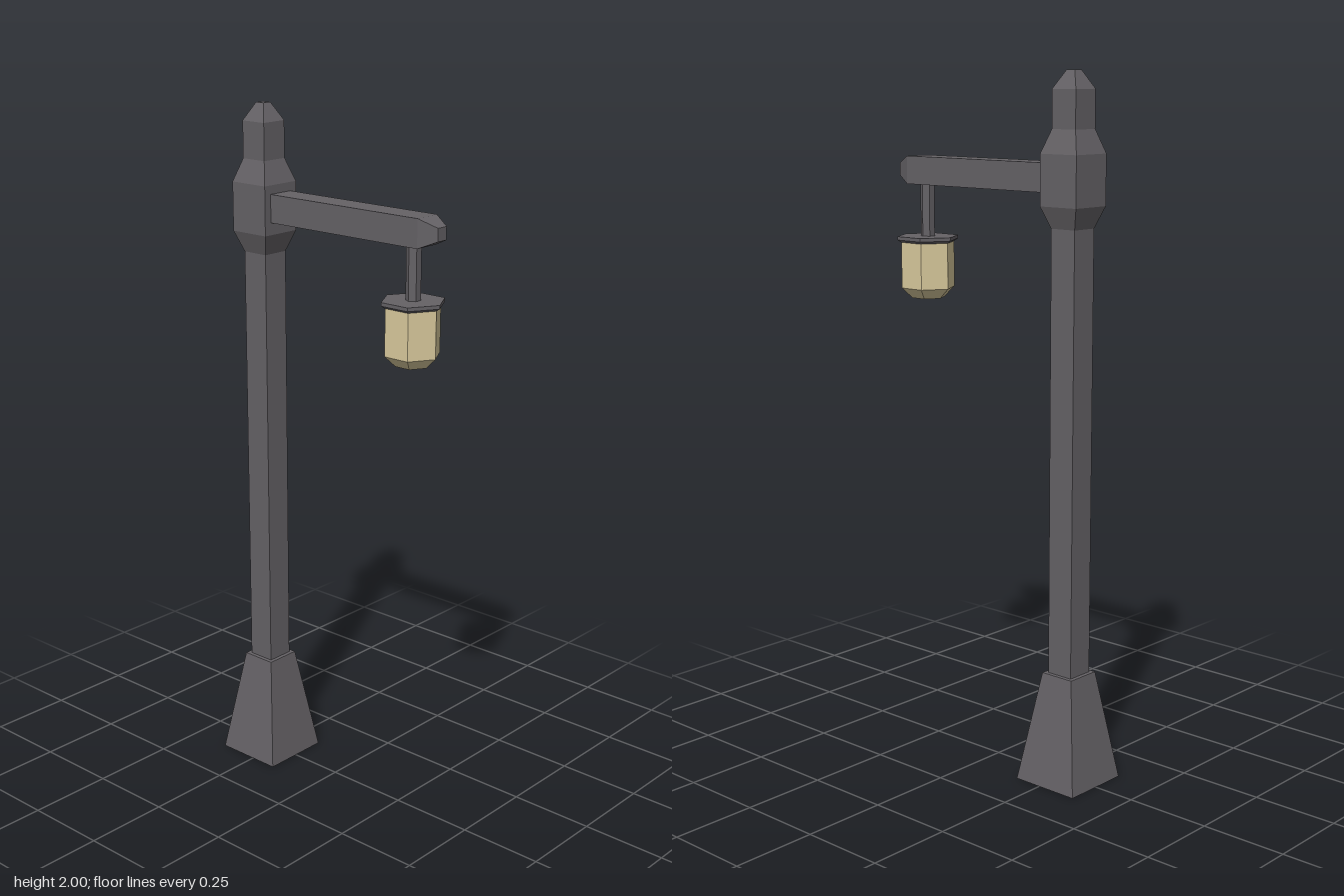
import * as THREE from 'three';

const iron = new THREE.MeshStandardMaterial({ color: 0x656266, flatShading: true });
iron.name = 'dark iron';
const glass = new THREE.MeshStandardMaterial({ color: 0xd9ca9d, flatShading: true });
glass.name = 'warm glass';

// Closed prism from [half width across flats, height] steps, bottom to top
function prism(name, sides, steps, material, turn = 0) {
  const k = 1 / Math.cos(Math.PI / sides);
  const points = steps.map(([r, y]) => new THREE.Vector2(r * k, y));
  points.unshift(new THREE.Vector2(0, steps[0][1]));
  points.push(new THREE.Vector2(0, steps[steps.length - 1][1]));
  const mesh = new THREE.Mesh(new THREE.LatheGeometry(points, sides, turn), material);
  mesh.name = name;
  return mesh;
}

export function createModel() {
  const model = new THREE.Group();
  model.name = 'streetLamp';
  const quarter = Math.PI / 4;

  // Square post with flared foot, collar and pointed finial
  const post = new THREE.Group();
  post.name = 'post';
  post.position.z = -0.269;
  post.add(
    prism('foot', 4, [[0.104, 0], [0.053, 0.32]], iron, quarter),
    prism('shaft', 4, [[0.041, 0.32], [0.041, 1.58]], iron, quarter),
    prism('collar', 4, [[0.041, 1.58], [0.063, 1.64], [0.063, 1.78], [0.041, 1.845]], iron, quarter),
    prism('finial', 4, [[0.041, 1.845], [0.041, 1.95], [0.014, 2]], iron, quarter)
  );

  // Horizontal arm with a tapered end
  const arm = prism('arm', 4, [[0.04, -0.22], [0.04, 0.322], [0.018, 0.373]], iron, quarter);
  arm.rotation.x = Math.PI / 2;
  arm.position.y = 1.715;

  // Hanging six-sided lantern
  const lantern = new THREE.Group();
  lantern.name = 'lantern';
  lantern.position.z = 0.279;
  lantern.add(
    prism('hanger', 6, [[0.018, 1.52], [0.018, 1.68]], iron, Math.PI / 6),
    prism('lanternCap', 6, [[0.07, 1.508], [0.079, 1.515], [0.079, 1.525]], iron),
    prism('lanternGlass', 6, [[0.042, 1.345], [0.069, 1.375], [0.069, 1.508]], glass)
  );

  model.add(post, arm, lantern);
  return model;
}
